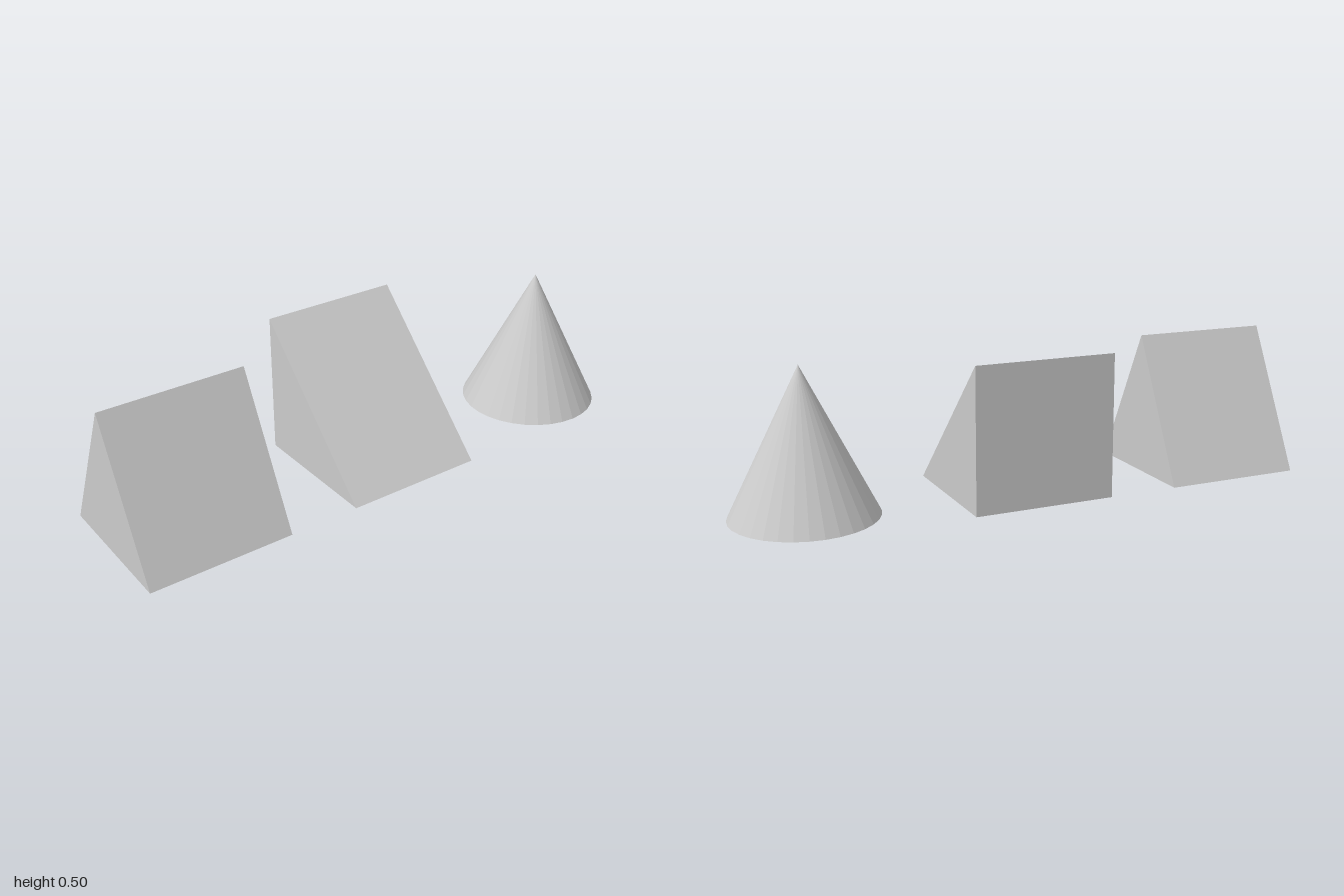
import * as THREE from 'three';

const SIZE = 0.5;
const HALF = SIZE / 2;

export function createModel() {
  const group = new THREE.Group();
  const material = new THREE.MeshStandardMaterial({ color: 0xcccccc, flatShading: true });

  const add = (name, geometry, z) => {
    const mesh = new THREE.Mesh(geometry, material);
    mesh.name = name;
    mesh.position.z = z;
    group.add(mesh);
  };

  // Triangular prism along z, with its peak at the given x
  const prism = (peakX) => {
    const triangle = new THREE.Shape([
      new THREE.Vector2(-HALF, 0),
      new THREE.Vector2(HALF, 0),
      new THREE.Vector2(peakX, SIZE),
    ]);
    return new THREE.ExtrudeGeometry(triangle, { depth: SIZE, bevelEnabled: false })
      .translate(0, 0, -HALF);
  };

  // Symmetric roof-shaped prism at the front
  add('isoscelesPrism', prism(0), 0.75);

  // Ramp in the middle, upright face on the -x side
  add('rightAngledWedge', prism(-HALF), 0);

  // Closed cone at the back
  add('cone', new THREE.ConeGeometry(HALF, SIZE, 32).translate(0, HALF, 0), -0.75);

  return group;
}
